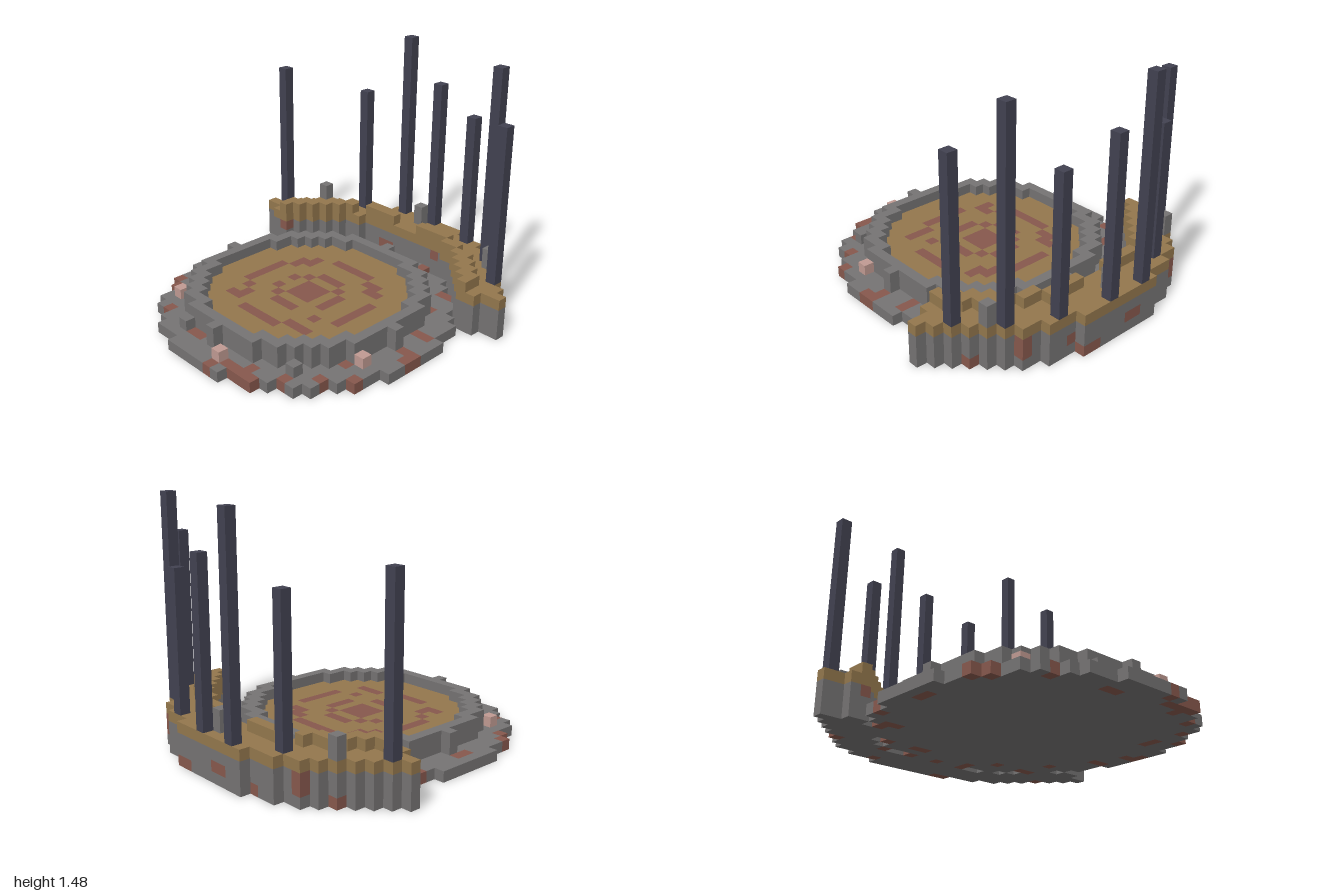
import * as THREE from 'three';

const V = 2 / 31; // edge of one block; the plan is a 31 x 31 grid
const C = 15, R = 17; // column and row of the arena centre

const mat = (name, color) => Object.assign(new THREE.MeshStandardMaterial({ color }), { name });

// Six block faces: outward normal and the two edge directions (u x v = normal)
const FACES = [
  [[1, 0, 0], [0, 1, 0], [0, 0, 1]], [[-1, 0, 0], [0, 0, 1], [0, 1, 0]],
  [[0, 1, 0], [0, 0, 1], [1, 0, 0]], [[0, -1, 0], [1, 0, 0], [0, 0, 1]],
  [[0, 0, 1], [1, 0, 0], [0, 1, 0]], [[0, 0, -1], [0, 1, 0], [1, 0, 0]],
];

export function createModel() {
  const mats = {
    stone: mat('grey stone', 0x757373),
    sand: mat('ochre sand', 0x93774d),
    rust: mat('rust red', 0x87584d),
    pink: mat('pale pink', 0xc09a92),
    iron: mat('dark iron', 0x424251),
  };
  const cells = new Map();
  const put = (part, m, x, y, z) => cells.set(`${x},${y},${z}`, { part, m, p: [x, y, z] });
  const paint = (m, x, y, z) => {
    const c = cells.get(`${x},${y},${z}`);
    if (c) c.m = m;
  };

  // Round floor, raised sand disc, rim and the rear crescent wall
  for (let x = 0; x < 31; x++) for (let z = 0; z < 31; z++) {
    const dx = x - C, back = R - z, d = dx * dx + back * back;
    if (d <= 182) put('floor', 'stone', x, 0, z);
    if (d <= 90) put('sandDisc', 'sand', x, 1, z);
    else if (d <= 121) for (const y of [1, 2]) put('rim', 'stone', x, y, z);
    if (d >= 196 && d <= 306 && back > 0 && back >= Math.abs(dx) * 0.577) {
      for (let y = 0; y < 3; y++) put('rearWall', 'stone', x, y, z);
      put('walkway', 'sand', x, 3, z);
      if (d <= 225 && Math.abs(dx) > 1 && dx !== -6) put('parapet', 'sand', x, 4, z);
    }
  }

  // Loose blocks around the rim
  for (const [x, z] of [[11, 28], [23, 26]]) put('looseStone', 'stone', x, 1, z);
  for (const [x, z] of [[17, 29], [6, 25], [26, 21]]) put('paleBlock', 'pink', x, 1, z);

  // Short stone posts on the walkway
  for (const [x, z] of [[4, 4], [15, 1], [26, 4]])
    for (const y of [4, 5]) put('stonePost', 'stone', x, y, z);

  // Rust rings on the sand: row, then first and last column of each run
  const rings = [
    [11, 13, 17], [12, 11, 11], [12, 18, 19], [13, 10, 11], [13, 19, 20], [14, 10, 10],
    [14, 14, 16], [15, 13, 13], [15, 17, 17], [16, 12, 12], [18, 12, 12], [19, 13, 13],
    [20, 14, 16], [20, 10, 10], [20, 19, 19], [22, 10, 11], [22, 18, 20], [23, 13, 17],
    [21, 11, 11],
  ];
  for (const [z, a, b] of rings) for (let x = a; x <= b; x++) paint('rust', x, 1, z);
  for (let z = 15; z < 20; z++) for (const x of [9, 21]) paint('rust', x, 1, z);
  for (let z = 16; z < 19; z++) for (const x of [14, 15, 16, 18]) paint('rust', x, 1, z);

  // Rust stains on the floor, as runs in the same form
  const stains = [
    [4, 12, 12], [4, 15, 15], [4, 18, 18], [5, 18, 18], [6, 8, 8], [6, 11, 12], [7, 20, 20],
    [7, 23, 24], [9, 5, 5], [10, 5, 6], [10, 24, 24], [12, 3, 3], [14, 26, 27], [17, 27, 28],
    [18, 28, 28], [17, 3, 3], [18, 3, 3], [21, 25, 25], [22, 25, 25], [23, 3, 3], [23, 27, 27],
    [24, 4, 4], [25, 25, 25], [27, 7, 7], [27, 23, 23], [28, 12, 13], [28, 20, 20], [29, 18, 21],
    [30, 17, 17],
  ];
  for (const [z, a, b] of stains) for (let x = a; x <= b; x++) paint('rust', x, 0, z);

  // Rust stains on the rear wall
  const wallStains = [
    [3, 2, 9], [24, 2, 2], [24, 1, 2], [20, 1, 1], [19, 0, 0], [18, 0, 0], [14, 1, 0], [13, 1, 0],
    [10, 0, 1], [6, 2, 2], [6, 1, 2], [4, 0, 4], [27, 0, 5], [12, 1, 3], [13, 1, 3], [19, 2, 3],
    [9, 0, 4],
  ];
  for (const [x, y, z] of wallStains) paint('rust', x, y, z);

  // Collect the exposed faces of every part and colour
  const groups = new Map();
  for (const { part, m, p } of cells.values()) {
    const key = `${part} ${m}`;
    if (!groups.has(key)) groups.set(key, { part, m, pos: [], nor: [] });
    const g = groups.get(key);
    for (const [n, u, v] of FACES) {
      if (cells.has(p.map((c, i) => c + n[i]).join())) continue;
      const corner = (a, b) => p.map((c, i) =>
        (c + 0.5 + n[i] / 2 + a * u[i] + b * v[i] - (i === 1 ? 0 : 15.5)) * V);
      const q = [corner(-0.5, -0.5), corner(0.5, -0.5), corner(0.5, 0.5), corner(-0.5, 0.5)];
      for (const k of [0, 1, 2, 0, 2, 3]) {
        g.pos.push(...q[k]);
        g.nor.push(...n);
      }
    }
  }

  const model = new THREE.Group();
  model.name = 'arena';
  for (const { part, m, pos, nor } of groups.values()) {
    const geo = new THREE.BufferGeometry();
    geo.setAttribute('position', new THREE.Float32BufferAttribute(pos, 3));
    geo.setAttribute('normal', new THREE.Float32BufferAttribute(nor, 3));
    const mesh = new THREE.Mesh(geo, mats[m]);
    mesh.name = m === 'rust' ? `${part}Rust` : part;
    model.add(mesh);
  }

  // Tall iron pillars along the outer edge: column, row, top
  for (const [x, z, top] of [[1, 7, 19], [8, 2, 17], [12, 0, 23], [16, 0, 19], [21, 1, 17], [25, 3, 23], [28, 6, 19]]) {
    const pillar = new THREE.Mesh(new THREE.BoxGeometry(V, (top - 4) * V, V), mats.iron);
    pillar.position.set((x - 15) * V, (top + 4) / 2 * V, (z - 15) * V);
    pillar.name = 'pillar';
    model.add(pillar);
  }
  return model;
}
